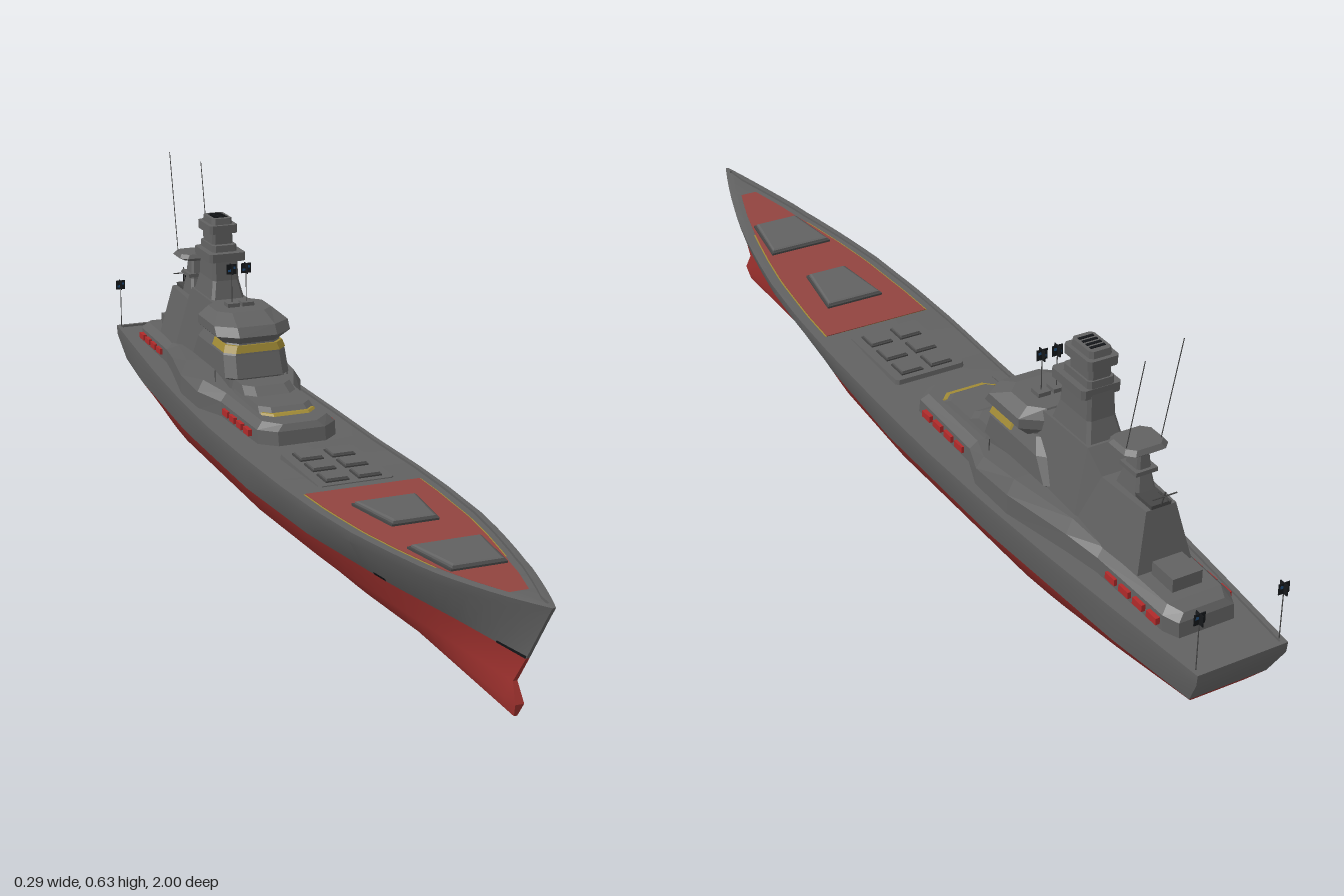
import * as THREE from 'three';
import { toCreasedNormals } from 'three/addons/utils/BufferGeometryUtils.js';

const mat = (name, hex) => {
  const m = new THREE.MeshStandardMaterial({ color: hex });
  m.name = name;
  return m;
};

// Piecewise linear lookup in [[key, value], ...] with ascending keys
function lookup(table, k) {
  if (k <= table[0][0]) return table[0][1];
  for (let i = 1; i < table.length; i++) {
    const [a, va] = table[i - 1], [b, vb] = table[i];
    if (k <= b) return va + (vb - va) * (k - a) / (b - a);
  }
  return table[table.length - 1][1];
}

// Skin stacked outlines. Each layer lists [x, y, z] of the +x half from front to back.
function loft(layers, crease = 0) {
  const pos = [];
  const quad = (a, b, c, d) => pos.push(...a, ...b, ...c, ...a, ...c, ...d);
  const flip = p => [-p[0], p[1], p[2]];
  const rings = layers.map(h => [...h, ...h.map(flip).reverse()]);
  for (let k = 0; k + 1 < rings.length; k++) {
    const lo = rings[k], hi = rings[k + 1], n = lo.length;
    for (let i = 0; i < n; i++) quad(lo[i], lo[(i + 1) % n], hi[(i + 1) % n], hi[i]);
  }
  const top = layers[layers.length - 1], bot = layers[0];
  for (let i = 0; i + 1 < top.length; i++) {
    quad(top[i], top[i + 1], flip(top[i + 1]), flip(top[i]));
    quad(flip(bot[i]), flip(bot[i + 1]), bot[i + 1], bot[i]);
  }
  const g = new THREE.BufferGeometry();
  g.setAttribute('position', new THREE.Float32BufferAttribute(pos, 3));
  if (crease) return toCreasedNormals(g, crease);
  g.computeVertexNormals();
  return g;
}

// Chamfered half outline at one height
const oct = (y, w, zf, zb, c = 0.02, d = c) =>
  [[w - c, y, zf], [w, y, zf - d], [w, y, zb + d], [w - c, y, zb]];

// Sheer line height and deck half width along z
const sheer = [[-1, 0.175], [-0.2, 0.175], [0, 0.178], [0.4, 0.193], [0.74, 0.209], [0.9, 0.224], [1, 0.236]];
const beam = [[-1, 0.09], [-0.8, 0.108], [-0.6, 0.125], [-0.4, 0.137], [-0.2, 0.143], [0.2, 0.143], [0.35, 0.138],
  [0.5, 0.126], [0.6, 0.111], [0.7, 0.092], [0.8, 0.069], [0.9, 0.039], [0.96, 0.018], [1, 0.003]];

// A lengthwise hull line: z ends, height and half width by t from bow (0) to stern (1)
const N = 48;
const hullLine = (z0, z1, yAt, wAt) => Array.from({ length: N + 1 }, (_, i) => {
  const t = i / N;
  return [wAt(t), yAt(t), z0 + (z1 - z0) * t];
});
const tab = table => t => lookup(table, t);

export function createModel() {
  const ship = new THREE.Group();
  ship.name = 'warship';
  const grey = mat('steel grey', 0x616161), dark = mat('dark grey', 0x464646);
  const hullRed = mat('antifouling red', 0x9e312e), deckRed = mat('deck red', 0x91443f);
  const raftRed = mat('raft red', 0xb02a2a), gold = mat('gold', 0xa08a35);
  const black = mat('black', 0x15171a), blue = mat('signal blue', 0x1f4f80);

  const add = (name, geo, m, x = 0, y = 0, z = 0) => {
    const mesh = new THREE.Mesh(geo, m);
    mesh.name = name;
    mesh.position.set(x, y, z);
    ship.add(mesh);
    return mesh;
  };
  const box = (name, m, w, h, d, x, y, z) => add(name, new THREE.BoxGeometry(w, h, d), m, x, y, z);
  const rod = (name, m, a, b, r) => {
    const path = new THREE.LineCurve3(new THREE.Vector3(...a), new THREE.Vector3(...b));
    return add(name, new THREE.TubeGeometry(path, 1, r, 5), m);
  };

  // Hull lines from keel to rail
  const zTop = t => 1 - 2 * t;
  const topY = t => lookup(sheer, zTop(t)), topW = t => lookup(beam, zTop(t));
  const keel = hullLine(0.885, -0.87, tab([[0, 0.002], [0.5, 0.011], [1, 0.04]]),
    tab([[0, 0.003], [0.3, 0.012], [0.6, 0.018], [1, 0.012]]));
  const bilge = hullLine(0.898, -0.9, tab([[0, 0.028], [0.12, 0.02], [0.6, 0.019], [1, 0.047]]),
    tab([[0, 0.008], [0.06, 0.013], [0.15, 0.017], [0.3, 0.04], [0.5, 0.055], [0.75, 0.052], [0.9, 0.04], [1, 0.03]]));
  const turn = hullLine(0.88, -0.94, tab([[0, 0.062], [0.1, 0.052], [0.8, 0.05], [1, 0.07]]),
    tab([[0, 0.004], [0.1, 0.018], [0.2, 0.044], [0.35, 0.081], [0.5, 0.096], [0.75, 0.092], [0.9, 0.073], [1, 0.055]]));
  const water = hullLine(0.92, -0.967, tab([[0, 0.118], [0.2, 0.107], [0.5, 0.101], [1, 0.1]]),
    tab([[0, 0.003], [0.1, 0.032], [0.2, 0.066], [0.35, 0.108], [0.5, 0.125], [0.7, 0.123], [0.9, 0.1], [1, 0.078]]));
  const knuckle = hullLine(0.985, -0.998, t => topY(t) - 0.021, t => topW(t) * (0.96 + 0.035 * Math.min(1, t * 3)));
  const rail = hullLine(1, -1, topY, topW);
  const inner = drop => hullLine(0.98, -0.992, t => topY(t) - drop, t => Math.max(0.002, topW(t) - 0.009));
  add('hullBottom', loft([keel, bilge, turn, water], 0.7), hullRed);
  add('hullSidesAndDeck', loft([water, knuckle, rail, inner(0), inner(0.005)], 0.5), grey);

  // Painted foredeck with a thin gold border
  const deckPatch = (z0, z1, inset, lift) => {
    const at = dy => Array.from({ length: 25 }, (_, i) => {
      const z = z1 + (z0 - z1) * i / 24;
      return [Math.max(0.002, lookup(beam, z) - inset), lookup(sheer, z) - 0.005 + dy, z];
    });
    return loft([at(-0.002), at(lift)]);
  };
  add('foredeckBorder', deckPatch(0.26, 0.945, 0.023, 0.001), gold);
  add('foredeckPaint', deckPatch(0.26, 0.935, 0.026, 0.002), deckRed);

  // Two tapered foredeck hatches
  const hatch = (z0, z1, w0, w1) => {
    const at = (e, h) => [[w1 + e, lookup(sheer, z1) + h, z1 + e], [w0 + e, lookup(sheer, z0) + h, z0 - e]];
    add('hatchCoaming', loft([at(0.004, -0.006), at(0.004, 0.001)]), dark);
    add('hatchCover', loft([at(0, -0.004), at(-0.001, 0.005), at(-0.005, 0.007)]), grey);
  };
  hatch(0.36, 0.49, 0.06, 0.042);
  hatch(0.615, 0.74, 0.066, 0.048);

  // Launch cells on a raised panel
  add('cellPanel', loft([oct(0.172, 0.078, 0.235, 0.03, 0.006), oct(0.184, 0.076, 0.233, 0.032, 0.006)]), grey);
  for (const x of [-0.033, 0.033]) for (const z of [0.069, 0.132, 0.196]) {
    box('cellFrame', dark, 0.048, 0.004, 0.046, x, 0.185, z);
    box('cellLid', grey, 0.042, 0.008, 0.04, x, 0.187, z);
  }

  // Lower deckhouse with swelling flanks
  const flank = [[0.05, -0.04, 0.2, 0.212], [0.083, -0.07, 0.2, 0.214], [0.088, -0.27, 0.2, 0.216],
    [0.115, -0.34, 0.205, 0.228], [0.115, -0.45, 0.21, 0.24], [0.085, -0.6, 0.205, 0.232],
    [0.072, -0.68, 0.2, 0.216], [0.068, -0.87, 0.2, 0.214], [0.055, -0.9, 0.198, 0.21]];
  add('lowerDeckhouse', loft([
    flank.map(([x, z]) => [x, 0.168, z]),
    flank.map(([x, z, y]) => [x, y, z * 0.99 - 0.006]),
    flank.map(([x, z, , y]) => [x - 0.014, y, z * 0.97 - 0.016]),
  ]), grey);
  add('frontStep', loft([oct(0.205, 0.062, -0.09, -0.3), oct(0.226, 0.055, -0.125, -0.3)]), grey);
  add('frontStepTrim', loft([oct(0.214, 0.058, -0.098, -0.14), oct(0.218, 0.057, -0.104, -0.14)]), gold);
  add('upperStep', loft([oct(0.215, 0.058, -0.18, -0.32), oct(0.24, 0.052, -0.225, -0.32)]), grey);

  // Life rafts along both sides
  for (const s of [-1, 1]) for (let i = 0; i < 4; i++) {
    box('foreRaft', raftRed, 0.01, 0.013, 0.028, s * 0.088, 0.186, -0.115 - i * 0.041);
    box('aftRaft', raftRed, 0.01, 0.013, 0.028, s * 0.072, 0.186, -0.725 - i * 0.041);
  }

  // Bridge: lower block, gold window band, overhanging upper block
  add('bridgeBase', loft([oct(0.21, 0.06, -0.275, -0.52), oct(0.237, 0.06, -0.28, -0.52), oct(0.243, 0.07, -0.276, -0.52),
    oct(0.288, 0.068, -0.292, -0.49), oct(0.314, 0.056, -0.3, -0.47)]), grey);
  add('bridgeWindows', loft([oct(0.293, 0.068, -0.289, -0.4), oct(0.308, 0.063, -0.294, -0.4)]), gold);
  add('bridgeTop', loft([oct(0.31, 0.062, -0.3, -0.455, 0.025), oct(0.327, 0.081, -0.284, -0.46, 0.04, 0.03),
    oct(0.346, 0.081, -0.298, -0.46, 0.04, 0.03), oct(0.365, 0.06, -0.345, -0.45, 0.025)]), grey);

  // Sloping after house
  const spine = [[-0.43, 0.362, 0.042], [-0.59, 0.362, 0.04], [-0.63, 0.325, 0.036], [-0.755, 0.325, 0.03]];
  add('afterHouse', loft([
    spine.map(([z, , w], i) => [w + 0.026, 0.21, z - (i > 1 ? 0.02 : 0)]),
    spine.map(([z, y, w]) => [w, y, z]),
  ]), grey);
  box('aftLocker', grey, 0.06, 0.03, 0.06, 0, 0.225, -0.81);
  box('aftRoofHatch', dark, 0.04, 0.008, 0.05, 0, 0.328, -0.73);

  // Main tower in stacked blocks
  const T = -0.525;
  const block = (name, y0, y1, w0, w1, d0, d1, dz = 0) => add(name, loft([
    oct(y0, w0, T + dz + d0, T + dz - d0, 0.006), oct(y1, w1, T + dz + d1, T + dz - d1, 0.006)]), grey);
  block('towerFoot', 0.355, 0.4, 0.038, 0.029, 0.062, 0.048);
  block('towerStem', 0.4, 0.475, 0.029, 0.027, 0.048, 0.042);
  block('towerPlatform', 0.443, 0.461, 0.04, 0.04, 0.052, 0.052, 0.008);
  block('towerNeck', 0.475, 0.5, 0.023, 0.023, 0.034, 0.034, -0.005);
  block('towerCollar', 0.499, 0.517, 0.031, 0.031, 0.042, 0.042, -0.005);
  block('towerCap', 0.517, 0.53, 0.023, 0.022, 0.034, 0.032, -0.005);
  for (let i = 0; i < 4; i++) box('towerGrille', black, 0.03, 0.004, 0.006, 0, 0.5295, -0.512 - i * 0.012);

  // Aft mast with radar platform and whip aerials
  add('aftMast', loft([oct(0.32, 0.022, -0.645, -0.715, 0.006), oct(0.36, 0.016, -0.66, -0.705, 0.005),
    oct(0.405, 0.011, -0.67, -0.7, 0.004)]), grey);
  add('radarPlatform', loft([oct(0.404, 0.03, -0.65, -0.71, 0.012), oct(0.411, 0.044, -0.642, -0.718, 0.014),
    oct(0.419, 0.038, -0.648, -0.712, 0.014)]), grey);
  box('mastShelf', grey, 0.044, 0.008, 0.05, 0, 0.368, -0.685);
  for (const s of [-1, 1])
    rod('whipAerial', dark, [s * 0.035, 0.415, -0.695], [s * 0.035, s < 0 ? 0.632 : 0.606, s < 0 ? -0.742 : -0.736], 0.0009);
  rod('sternYardPole', dark, [0, 0.32, -0.752], [0, 0.362, -0.765], 0.0014);
  rod('sternYard', dark, [-0.025, 0.35, -0.762], [0.025, 0.35, -0.762], 0.0014);
  rod('sternYardSpur', dark, [0, 0.35, -0.745], [0, 0.35, -0.78], 0.0014);

  // Signal flags: crossed plates on thin poles
  const flag = (x, y0, y, z) => {
    rod('flagPole', dark, [x, y0, z], [x, y, z], 0.001);
    box('flagPlate', black, 0.022, 0.021, 0.0015, x, y, z);
    box('flagCrossPlate', black, 0.0015, 0.021, 0.02, x, y, z);
    for (const s of [-1, 1]) box('flagEmblem', blue, 0.006, 0.005, 0.0025, x + s * 0.005, y + s * 0.003, z);
  };
  for (const s of [-1, 1]) {
    box('flagLocker', grey, 0.026, 0.01, 0.026, s * 0.016, 0.368, -0.4);
    flag(s * 0.016, 0.37, 0.444, -0.4);
    flag(s * 0.083, 0.172, 0.276, -0.985);
    rod('sideAerial', dark, [s * 0.08, 0.21, -0.33], [s * 0.08, 0.25, -0.33], 0.001);
  }

  // Hull marks: thin strips lying on the side just above the waterline
  const mark = (i0, i1, f0, f1) => {
    const p = (i, f) => water[i].map((v, k) => v + (knuckle[i][k] - v) * f + (k === 0 ? 0.0015 : 0));
    const a = p(i0, f0), b = p(i1, f0), c = p(i1, f1), d = p(i0, f1);
    const g = new THREE.BufferGeometry();
    const right = [a, b, c, a, c, d], left = [a, c, b, a, d, c].map(([x, y, z]) => [-x, y, z]);
    g.setAttribute('position', new THREE.Float32BufferAttribute([...right, ...left].flat(), 3));
    g.computeVertexNormals();
    add('hullMark', g, black);
  };
  mark(0, 2, 0.0, 0.06);
  mark(10, 11, 0.02, 0.12);
  return ship;
}
